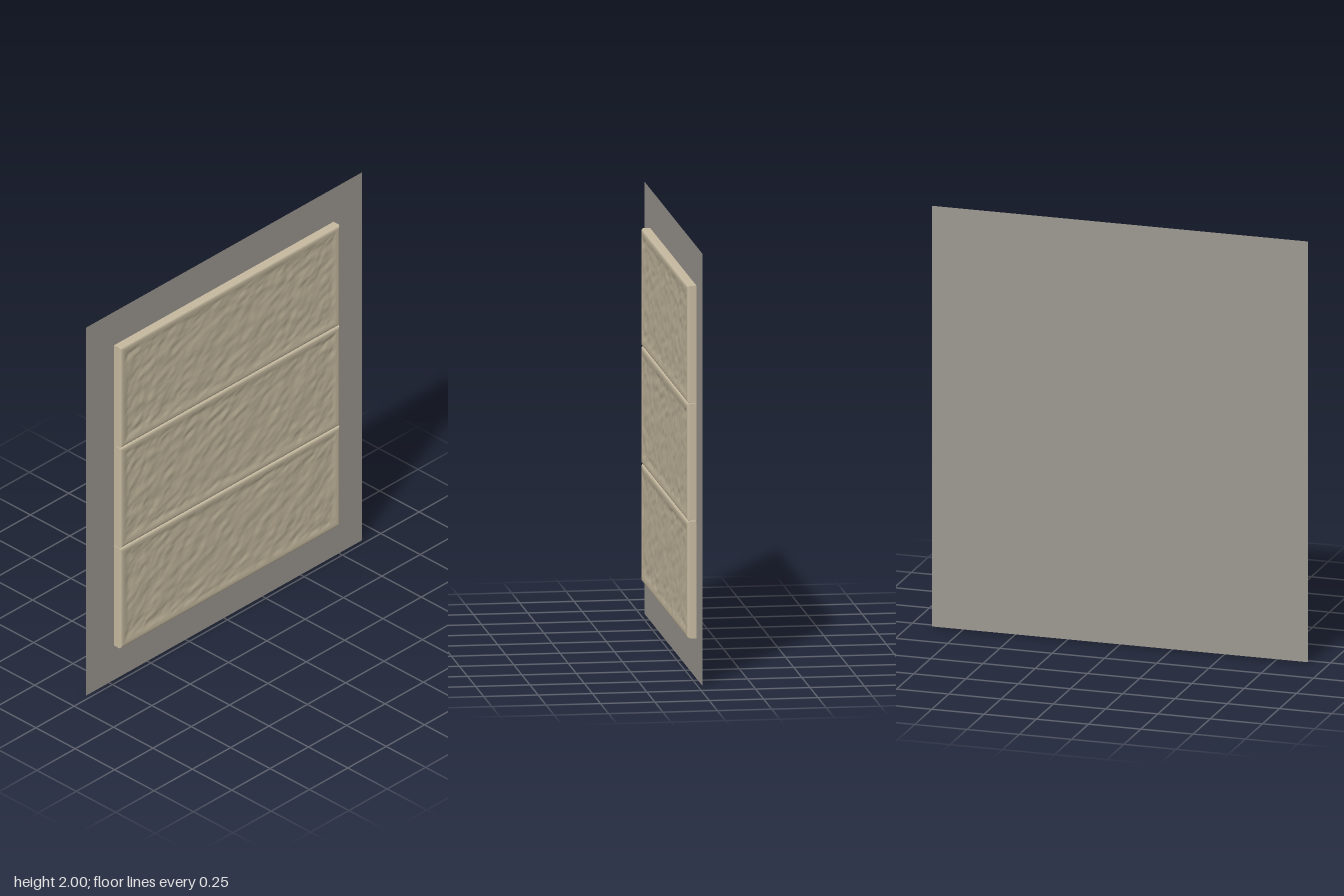
import * as THREE from 'three';

const BACK = -0.022, RIM = 0.012;

// Smooth value noise on an integer lattice
function hash(i, j) {
  const s = Math.sin(i * 127.1 + j * 311.7) * 43758.5453;
  return s - Math.floor(s);
}
function noise(x, y) {
  const i = Math.floor(x), j = Math.floor(y);
  const u = THREE.MathUtils.smoothstep(x - i, 0, 1);
  const v = THREE.MathUtils.smoothstep(y - j, 0, 1);
  const { lerp } = THREE.MathUtils;
  return lerp(lerp(hash(i, j), hash(i + 1, j), u), lerp(hash(i, j + 1), hash(i + 1, j + 1), u), v) - 0.5;
}

// Packs grid lines towards both ends so the rounded border is well resolved
const bunch = t => t - 0.7 * Math.sin(2 * Math.PI * t) / (2 * Math.PI);

// Embossed face: rounded edge, raised lip, shallow rough field
function faceGeometry(w, h, seed) {
  const geo = new THREE.PlaneGeometry(w, h, 150, 66);
  const p = geo.attributes.position;
  const { smoothstep } = THREE.MathUtils;
  for (let i = 0; i < p.count; i++) {
    const x = (bunch(p.getX(i) / w + 0.5) - 0.5) * w;
    const y = (bunch(p.getY(i) / h + 0.5) - 0.5) * h;
    const d = Math.max(0, Math.min(w / 2 - Math.abs(x), h / 2 - Math.abs(y)));
    const round = Math.sqrt(1 - (1 - Math.min(d / 0.014, 1)) ** 2);
    const field = smoothstep(d, 0.02, 0.055);
    const a = x + 0.35 * y, b = y - 0.35 * x;
    const rough = 0.005 * noise(a * 17 + seed, b * 34) + 0.003 * noise(a * 38, b * 60 + seed);
    p.setXYZ(i, x, y, RIM + 0.01 * round + field * (rough - 0.004));
  }
  geo.computeVertexNormals();
  return geo;
}

export function createModel() {
  const model = new THREE.Group();
  model.name = 'panelledDoor';
  const wallGrey = new THREE.MeshStandardMaterial({ color: 0x9d9891, side: THREE.DoubleSide });
  wallGrey.name = 'wallGrey';
  const panelTan = new THREE.MeshStandardMaterial({ color: 0xc5b99f });
  panelTan.name = 'panelTan';

  // Flat backing sheet
  const backing = new THREE.Mesh(new THREE.PlaneGeometry(1.8, 2), wallGrey);
  backing.name = 'backingSheet';
  backing.position.set(0, 1, BACK);
  model.add(backing);

  // Three stacked panels, each a slab with an embossed face
  const w = 1.432, pitch = 0.545, h = pitch - 0.003, depth = RIM - BACK;
  for (let k = 0; k < 3; k++) {
    const panel = new THREE.Group();
    panel.name = 'panel' + (k + 1);
    panel.position.set(-0.002, 0.186 + pitch * (k + 0.5), 0);
    const slab = new THREE.Mesh(new THREE.BoxGeometry(w, h, depth - 0.001), panelTan);
    slab.name = 'panelSlab';
    slab.position.z = BACK + 0.001 + (depth - 0.001) / 2;
    const face = new THREE.Mesh(faceGeometry(w, h, k * 23.7), panelTan);
    face.name = 'embossedFace';
    panel.add(slab, face);
    model.add(panel);
  }
  return model;
}
